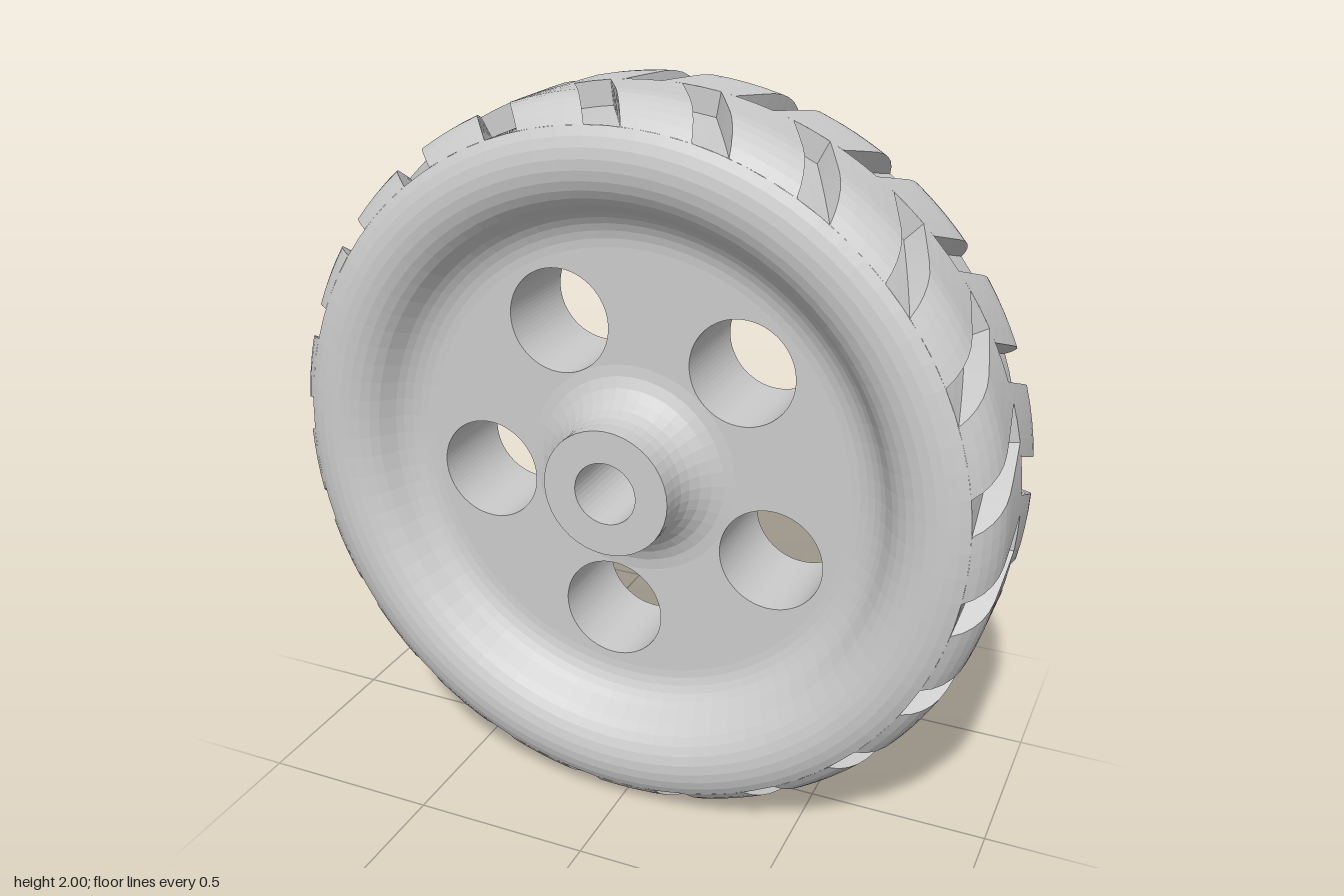
import * as THREE from 'three';

const DEG = Math.PI / 180;
const HALF = 0.285;            // half width of the tyre
const CORNER = 0.15;           // rounding of shoulder and inner lip
const FLOOR = 0.935;           // radius of the groove floors
const EDGE = HALF - CORNER + Math.sqrt(CORNER ** 2 - (FLOOR - 1 + CORNER) ** 2); // z where grooves run out
const WEB = 0.145;             // half thickness of the disc
const GROOVES = 21;

const material = new THREE.MeshStandardMaterial({ color: 0xcccccc, flatShading: true });

function part(name, geometry) {
  const mesh = new THREE.Mesh(geometry, material);
  mesh.name = name;
  return mesh;
}

// Lathe around the z axis from [radius, z] points.
function latheZ(points, segments) {
  const g = new THREE.LatheGeometry(points.map(([r, z]) => new THREE.Vector2(r, z)), segments);
  return g.rotateX(Math.PI / 2);
}

// Points on a circular arc in the (radius, z) plane.
function arc(cr, cz, radius, from, to, n) {
  return Array.from({ length: n + 1 }, (_, i) => {
    const t = (from + (to - from) * i / n) * DEG;
    return [cr + radius * Math.cos(t), cz + radius * Math.sin(t)];
  });
}

const mirrorBack = (points) => points.map(([r, z]) => [r, -z]).reverse();

// Outer radius of the tyre at a given z.
function tyreRadius(z) {
  const d = Math.max(0, z - (HALF - CORNER));
  return 1 - CORNER + Math.sqrt(CORNER * CORNER - d * d);
}

// Tread: two halves of slanted blocks with grooves cut between them.
function treadGeometry() {
  const positions = [];
  const point = ([r, t, z]) => [r * Math.cos(t), r * Math.sin(t), z];
  const quad = (a, b, c, d, flip) => {
    const order = flip ? [a, d, c, a, c, b] : [a, b, c, a, c, d];
    order.forEach((p) => positions.push(...point(p)));
  };
  const stations = [0, 0.045, 0.09, 0.135, 0.165, 0.192, 0.217, 0.239, EDGE];
  const period = 360 / GROOVES, width = 5.9;

  for (const side of [1, -1]) {
    const flip = side < 0;
    // Angle of the groove centre line at distance z from the middle
    const slant = (z) => (side > 0 ? 99.8 - 33 * z : 91.7 - 23 * z);
    for (let k = 0; k < GROOVES; k++) {
      const at = (offset, z) => (slant(z) + k * period + offset) * DEG;
      const strip = (from, to, n, radius, z0, z1) => {
        for (let j = 0; j < n; j++) {
          const o0 = from + (to - from) * j / n, o1 = from + (to - from) * (j + 1) / n;
          quad([radius(z0), at(o0, z0), side * z0], [radius(z0), at(o1, z0), side * z0],
            [radius(z1), at(o1, z1), side * z1], [radius(z1), at(o0, z1), side * z1], flip);
        }
      };
      for (let i = 0; i < stations.length - 1; i++) {
        const z0 = stations[i], z1 = stations[i + 1];
        strip(-width / 2, width / 2, 2, () => FLOOR, z0, z1);
        strip(width / 2, period - width / 2, 4, tyreRadius, z0, z1);
        // Groove side walls
        for (const e of [-1, 1]) {
          const o = e * width / 2;
          quad([FLOOR, at(o, z0), side * z0], [tyreRadius(z0), at(o, z0), side * z0],
            [tyreRadius(z1), at(o, z1), side * z1], [FLOOR, at(o, z1), side * z1], flip !== (e < 0));
        }
      }
      // Groove end wall on the centre line
      for (const [o0, o1] of [[-width / 2, 0], [0, width / 2]]) {
        quad([FLOOR, at(o0, 0), 0], [1, at(o0, 0), 0], [1, at(o1, 0), 0], [FLOOR, at(o1, 0), 0], flip);
      }
    }
  }
  const g = new THREE.BufferGeometry();
  g.setAttribute('position', new THREE.Float32BufferAttribute(positions, 3));
  g.computeVertexNormals();
  return g;
}

// Disc with five round holes
function discGeometry() {
  const shape = new THREE.Shape().absarc(0, 0, 0.63, 0, Math.PI * 2);
  const hole = (x, y, r) => shape.holes.push(new THREE.Path().absarc(x, y, r, 0, Math.PI * 2, true));
  hole(0, 0, 0.2);
  for (let i = 0; i < 5; i++) {
    const a = (118.3 + 72 * i) * DEG;
    hole(0.44 * Math.cos(a), 0.44 * Math.sin(a), 0.143);
  }
  const g = new THREE.ExtrudeGeometry(shape, { depth: 2 * WEB, bevelEnabled: false, curveSegments: 40 });
  return g.translate(0, 0, -WEB);
}

export function createModel() {
  const wheel = new THREE.Group();
  wheel.name = 'wheel';

  // Sidewalls: seam tucked under the tread, rounded shoulder and lip, fillet down to the disc
  const shoulder = Math.acos((FLOOR - 1 + CORNER) / CORNER) / DEG;
  const front = [
    [FLOOR - 0.02, EDGE - 0.02],
    ...arc(1 - CORNER, HALF - CORNER, CORNER, shoulder, 150, 9),
    ...arc(0.6075, WEB + 0.13, 0.13, -30, -90, 6).slice(1),
  ];
  wheel.add(part('sidewalls', latheZ([...front, ...mirrorBack(front)], GROOVES * 4)));
  wheel.add(part('tread', treadGeometry()));
  wheel.add(part('disc', discGeometry()));

  // Hub with flared foot and through bore
  const hubFront = [
    ...arc(0.295, WEB + 0.12, 0.12, 270, 180, 6),
    [0.175, 0.315], [0.086, 0.315],
  ];
  wheel.add(part('hub', latheZ([...mirrorBack(hubFront), ...hubFront, [0.086, -0.315]], 40)));

  wheel.position.y = 1;
  const model = new THREE.Group();
  model.name = 'treadedWheel';
  model.add(wheel);
  return model;
}
